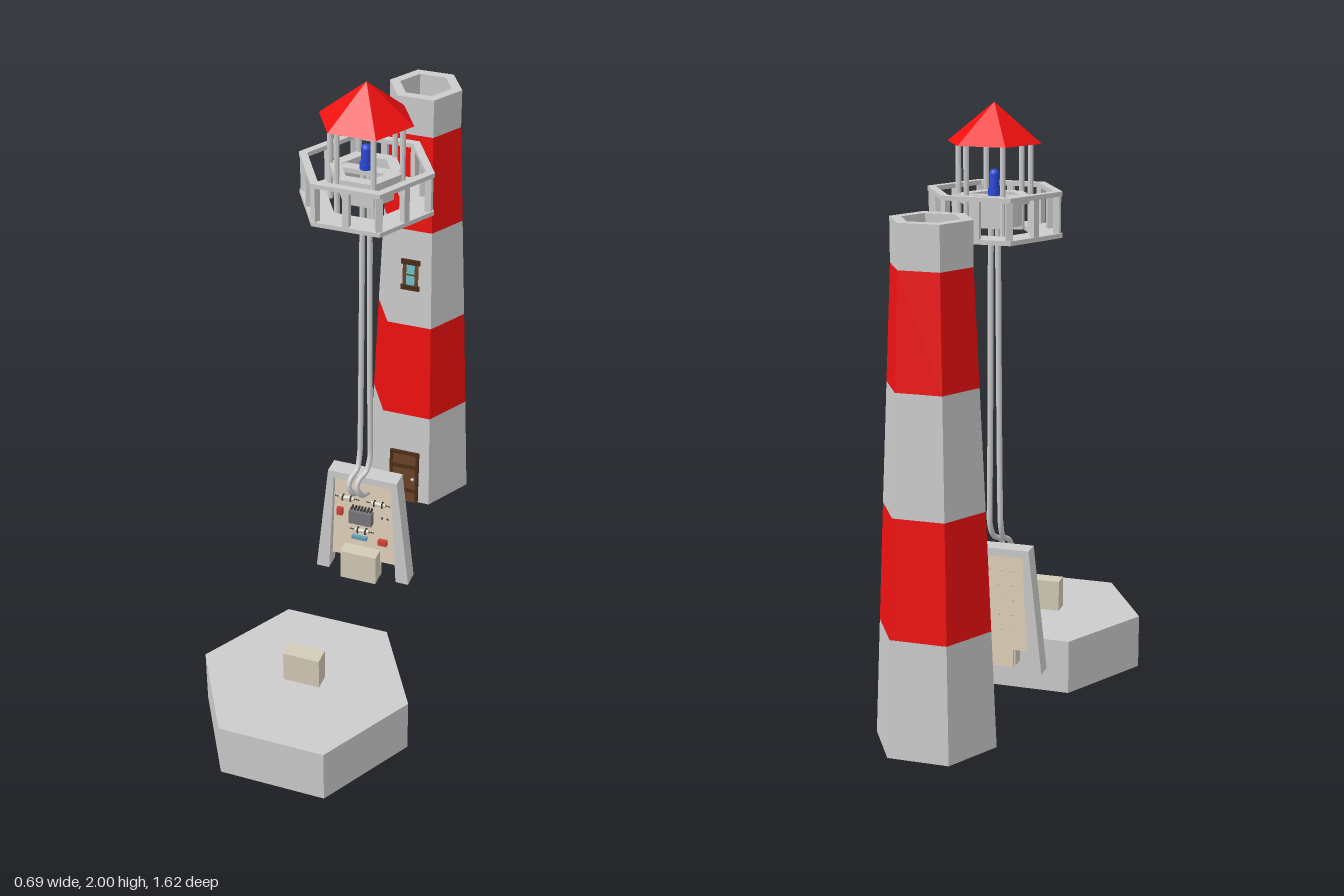
import * as THREE from 'three';

const mat = (color) => new THREE.MeshStandardMaterial({ color, flatShading: true });
const GREY = mat(0xcccccc), RED = mat(0xf01010), BROWN = mat(0x6b4226), DARK_BROWN = mat(0x4a2c18);
const BEIGE = mat(0xd2cab6), BOARD = mat(0xe2d2ba), BLACK = mat(0x3c3c40), CHIP = mat(0x77777c);
const BLUE = mat(0x2a48d8), GLASS = mat(0x6fc0cc), CYAN = mat(0x5f9fb8), COMPONENT_RED = mat(0xd04038);

function add(parent, name, geometry, material, x = 0, y = 0, z = 0) {
  const mesh = new THREE.Mesh(geometry, material);
  mesh.name = name;
  mesh.position.set(x, y, z);
  parent.add(mesh);
  return mesh;
}
const box = (parent, name, material, w, h, d, x, y, z) =>
  add(parent, name, new THREE.BoxGeometry(w, h, d), material, x, y, z);

// Six-sided solid of revolution with corners on the x axis
const hex = (parent, name, material, profile) => add(parent, name,
  new THREE.LatheGeometry(profile.map(([r, y]) => new THREE.Vector2(r, y)), 6, Math.PI / 6), material);

// Hexagonal ring with a rectangular section
const hexRing = (parent, name, material, outer, inner, y0, y1) =>
  hex(parent, name, material, [[outer, y0], [outer, y1], [inner, y1], [inner, y0], [outer, y0]]);

function group(parent, name, z) {
  const g = new THREE.Group();
  g.name = name;
  g.position.z = z;
  parent.add(g);
  return g;
}

function extrude(points, depth) {
  const shape = new THREE.Shape(points.map(([x, y]) => new THREE.Vector2(x, y)));
  return new THREE.ExtrudeGeometry(shape, { depth, bevelEnabled: false });
}

function buildBase(root) {
  const base = group(root, 'base', 0.51);
  hex(base, 'baseBlock', GREY, [[0, 0], [0.345, 0], [0.345, 0.185], [0, 0.185]]);
  box(base, 'basePlug', BEIGE, 0.12, 0.11, 0.056, -0.004, 0.237, -0.004);
}

function buildTower(root) {
  const tower = group(root, 'tower', -0.648);
  // Tapered hollow bands, alternating grey and red, with a straight collar on top
  const levels = [0.19, 0.55, 0.91, 1.27, 1.61, 1.74];
  const radii = [0.187, 0.171, 0.155, 0.138, 0.122, 0.122];
  const inner = [0.152, 0.136, 0.12, 0.103, 0.087, 0.087];
  for (let i = 0; i < 5; i++) {
    hex(tower, 'towerBand' + (i + 1), i % 2 ? RED : GREY,
      [[radii[i], levels[i]], [radii[i + 1], levels[i + 1]], [inner[i + 1], levels[i + 1]],
        [inner[i], levels[i]], [radii[i], levels[i]]]);
  }

  // Door leaning with the front wall
  const door = group(tower, 'door', 0.162);
  door.position.y = 0.19;
  door.rotation.x = -0.04;
  box(door, 'doorLeaf', BROWN, 0.094, 0.2, 0.012, 0, 0.1, 0.002);
  for (const s of [-1, 1]) box(door, 'doorJamb', DARK_BROWN, 0.01, 0.21, 0.02, s * 0.048, 0.105, 0.002);
  box(door, 'doorLintel', DARK_BROWN, 0.106, 0.01, 0.02, 0, 0.205, 0.002);
  for (const y of [0.05, 0.15]) box(door, 'doorBrace', DARK_BROWN, 0.086, 0.014, 0.006, 0, y, 0.009);
  add(door, 'doorKnob', new THREE.IcosahedronGeometry(0.006, 1), GREY, 0.033, 0.1, 0.011);

  // Window with wide sill and lintel
  const window = group(tower, 'window', 0.125);
  window.position.y = 1.105;
  window.rotation.x = -0.04;
  box(window, 'windowPane', GLASS, 0.034, 0.085, 0.008, 0, 0, 0);
  for (const s of [-1, 1]) {
    box(window, 'windowJamb', BROWN, 0.012, 0.1, 0.012, s * 0.021, 0, 0);
    box(window, 'windowRail', DARK_BROWN, 0.066, 0.018, 0.016, 0, s * 0.048, 0);
  }
  box(window, 'windowMullion', BROWN, 0.034, 0.005, 0.01, 0, 0, 0);
}

function buildLantern(root) {
  const lantern = group(root, 'lantern', -0.067);
  hex(lantern, 'roof', RED, [[0.135, 1.88], [0.148, 1.88], [0, 2], [0, 1.988], [0.135, 1.88]]);
  hexRing(lantern, 'galleryFloor', GREY, 0.214, 0.125, 1.6, 1.614);
  hexRing(lantern, 'galleryRail', GREY, 0.214, 0.187, 1.726, 1.74);

  for (let i = 0; i < 6; i++) {
    const a = i * Math.PI / 3, m = a + Math.PI / 6;
    // Railing post at each corner and in the middle of each side
    for (const [angle, r] of [[a, 0.197], [m, 0.174]]) {
      const post = box(lantern, 'railingPost', GREY, 0.02, 0.116, 0.02,
        r * Math.cos(angle), 1.67, r * Math.sin(angle));
      post.rotation.y = -angle;
    }
    // Slim roof column
    add(lantern, 'roofColumn', new THREE.CylinderGeometry(0.009, 0.009, 0.29, 8), GREY,
      0.114 * Math.cos(a), 1.748, 0.114 * Math.sin(a));
  }

  // Lamp holder and lamp
  hexRing(lantern, 'lampRing', GREY, 0.118, 0.08, 1.7, 1.722);
  hexRing(lantern, 'lampSleeve', GREY, 0.088, 0.08, 1.63, 1.722);
  box(lantern, 'lampBridge', GREY, 0.16, 0.016, 0.034, 0, 1.712, 0);
  add(lantern, 'lampFoot', new THREE.CylinderGeometry(0.02, 0.02, 0.02, 16), BLUE, 0, 1.73, 0);
  const lamp = add(lantern, 'lamp', new THREE.CapsuleGeometry(0.016, 0.04, 6, 16), BLUE, 0, 1.764, 0);
  lamp.material = new THREE.MeshStandardMaterial({ color: 0x2a48d8 });
}

function buildCables(root) {
  const smooth = new THREE.MeshStandardMaterial({ color: 0xcccccc });
  for (const s of [-1, 1]) {
    const path = [[s * 0.009, 1.73, -0.067], [s * 0.012, 1.5, -0.067], [s * 0.014, 1.1, -0.065],
      [s * 0.017, 0.75, -0.064], [s * 0.018, 0.67, -0.06], [s * 0.016 - 0.004, 0.625, -0.04],
      [s * 0.014 - 0.018, 0.605, -0.012], [s * 0.014 - 0.02, 0.575, 0],
      [s * 0.014 - 0.008, 0.545, -0.014], [s * 0.014, 0.53, -0.054]];
    const curve = new THREE.CatmullRomCurve3(path.map((p) => new THREE.Vector3(...p)));
    add(root, 'cable', new THREE.TubeGeometry(curve, 120, 0.009, 10), smooth);
  }
}

function buildCircuitPanel(root) {
  const panel = group(root, 'circuitPanel', 0);
  // Arched frame with sloping legs
  add(panel, 'panelFrame', extrude([[-0.165, 0.19], [-0.12, 0.19], [-0.1, 0.577], [0.1, 0.577],
    [0.12, 0.19], [0.165, 0.19], [0.12, 0.602], [-0.12, 0.602]], 0.06), GREY, 0, 0, -0.095);
  // Board with a narrow tab at the bottom
  add(panel, 'circuitBoard', extrude([[-0.06, 0.19], [0.06, 0.19], [0.06, 0.25], [0.112, 0.25],
    [0.1, 0.577], [-0.1, 0.577], [-0.112, 0.25], [-0.06, 0.25]], 0.012), BOARD, 0, 0, -0.062);
  box(panel, 'connector', BEIGE, 0.125, 0.11, 0.05, -0.003, 0.246, -0.025);

  // Chip with pins along both long edges
  const face = -0.05;
  box(panel, 'chip', CHIP, 0.08, 0.05, 0.022, -0.003, 0.438, face + 0.019);
  for (let i = 0; i < 7; i++) {
    for (const s of [-1, 1]) {
      box(panel, 'chipPin', BLACK, 0.005, 0.008, 0.022, -0.036 + i * 0.011, 0.438 + s * 0.029, face + 0.01);
    }
  }
  // Resistors with wire leads
  for (const [x, y] of [[-0.055, 0.5], [0.055, 0.5], [-0.003, 0.375]]) {
    const body = add(panel, 'resistor', new THREE.CylinderGeometry(0.008, 0.008, 0.05, 10), BEIGE, x, y, face + 0.01);
    const lead = add(panel, 'resistorLead', new THREE.CylinderGeometry(0.002, 0.002, 0.085, 6), BLACK, x, y, face + 0.01);
    body.rotation.z = lead.rotation.z = Math.PI / 2;
    for (const dx of [-0.014, 0.014]) box(panel, 'resistorBand', BLACK, 0.005, 0.017, 0.017, x + dx, y, face + 0.01);
  }
  box(panel, 'capacitor', COMPONENT_RED, 0.02, 0.027, 0.014, -0.082, 0.437, face + 0.007);
  box(panel, 'capacitor', COMPONENT_RED, 0.03, 0.02, 0.014, 0.07, 0.34, face + 0.007);
  box(panel, 'coil', CYAN, 0.052, 0.012, 0.012, -0.013, 0.34, face + 0.006);
  for (const x of [0.065, 0.085]) box(panel, 'contact', BLACK, 0.006, 0.006, 0.006, x, 0.438, face);

  // Solder dots on the back
  for (let row = 0; row < 5; row++) {
    for (let i = 0; i < 4; i++) {
      add(panel, 'solderDot', new THREE.SphereGeometry(0.004, 6, 4), GREY,
        -0.06 + i * 0.04 + (row % 2) * 0.008, 0.32 + row * 0.05, -0.062);
    }
  }
}

export function createModel() {
  const root = new THREE.Group();
  root.name = 'explodedLighthouse';
  buildBase(root);
  buildTower(root);
  buildLantern(root);
  buildCables(root);
  buildCircuitPanel(root);
  return root;
}
